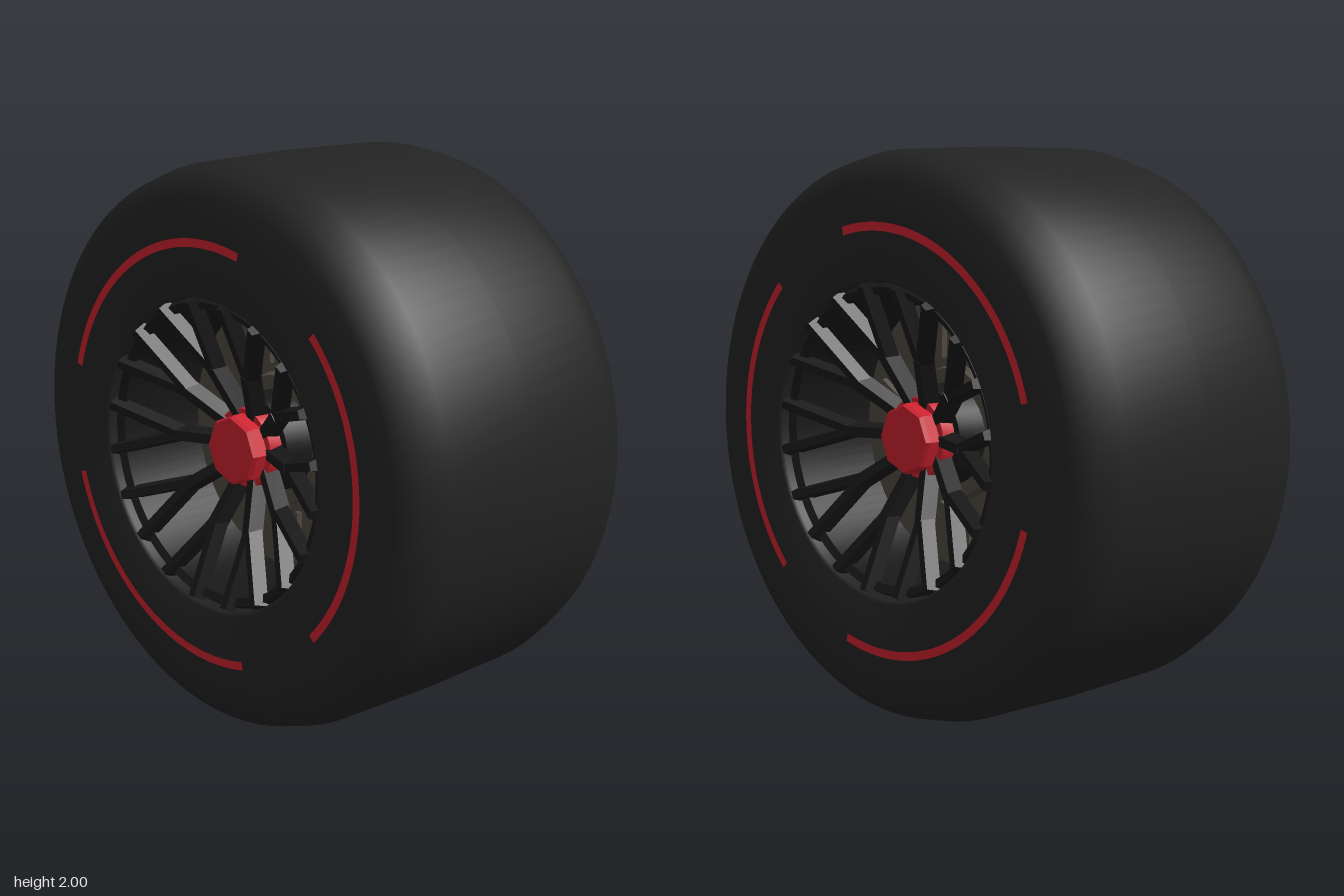
import * as THREE from 'three';
import { toCreasedNormals } from 'three/addons/utils/BufferGeometryUtils.js';

const flat = (name, color) => {
  const m = new THREE.MeshStandardMaterial({ color });
  m.name = name;
  return m;
};

export function createModel() {
  const rubber = flat('tyre rubber', 0x232323);
  const black = flat('rim black', 0x181818);
  const red = flat('signal red', 0xcc202e);
  const iron = flat('brake grey', 0x4e4940);

  const add = (parent, name, geometry, material) => {
    const mesh = new THREE.Mesh(geometry, material);
    mesh.name = name;
    parent.add(mesh);
    return mesh;
  };

  // Closed [radius, x] section spun about the x axis
  const spin = (section, segments) => {
    const pts = [...section, section[0]].map(([r, x]) => new THREE.Vector2(r, x));
    return toCreasedNormals(new THREE.LatheGeometry(pts, segments).rotateZ(-Math.PI / 2), 0.9);
  };

  // Cylinder along x between two x positions
  const drum = (r0, r1, x0, x1, sides) =>
    toCreasedNormals(new THREE.CylinderGeometry(r1, r0, x1 - x0, sides)
      .rotateZ(-Math.PI / 2).translate((x0 + x1) / 2, 0, 0), 0.6);

  // Point at a radius and angle about the x axis (0 = +z)
  const polar = (r, a, x) => new THREE.Vector3(x, r * Math.sin(a), r * Math.cos(a));

  // Bar between two points, with its outer face narrower than its back
  const bar = (from, to, width, depth) => {
    const d = to.clone().sub(from);
    const g = new THREE.BoxGeometry(width, d.length(), depth);
    const p = g.attributes.position;
    for (let i = 0; i < p.count; i++) if (p.getZ(i) > 0) p.setX(i, p.getX(i) * 0.6);
    d.normalize();
    const side = d.clone().cross(new THREE.Vector3(1, 0, 0)).normalize();
    const out = side.clone().cross(d);
    g.applyMatrix4(new THREE.Matrix4().makeBasis(side, d, out)
      .setPosition(from.clone().add(to).multiplyScalar(0.5)));
    g.computeVertexNormals();
    return g;
  };

  const wheel = new THREE.Group();
  wheel.name = 'wheel';

  // Wide slick tyre
  const half = [[1, 0], [0.993, 0.38], [0.965, 0.48], [0.885, 0.53], [0.78, 0.54], [0.56, 0.54], [0.548, 0.53]];
  const mirrored = half.slice(1).reverse().map(([r, x]) => [r, -x]);
  add(wheel, 'tyre', spin([...mirrored, ...half], 96), rubber);

  // Rim barrel and axle
  add(wheel, 'rimBarrel', spin([[0.541, -0.5], [0.541, 0.5], [0.53, 0.515], [0.504, 0.5],
    [0.504, -0.5], [0.53, -0.515]], 96), black);
  add(wheel, 'axle', drum(0.1, 0.1, -0.3, 0.3, 32), black);

  // Everything on one face of the wheel, facing +x
  const buildFace = (name) => {
    const face = new THREE.Group();
    face.name = name;
    wheel.add(face);

    // Brake disc with slightly tilted cooling ribs
    add(face, 'brakeDisc', drum(0.488, 0.488, 0.1, 0.17, 64), iron);
    add(face, 'brakeBell', drum(0.24, 0.23, 0.17, 0.21, 32), iron);
    for (let i = 0; i < 12; i++) {
      const a = (i + 0.5) * Math.PI / 6;
      add(face, 'brakeRib', bar(polar(0.27, a, 0.175), polar(0.42, a + 0.1, 0.175), 0.025, 0.03), iron);
    }

    // Ten forked spokes rising from the hub to the rim edge
    for (let i = 0; i < 10; i++) {
      const a = i * Math.PI / 5;
      const fork = polar(0.3, a, 0.42);
      add(face, 'spokeStem', bar(polar(0.11, a, 0.34), fork, 0.058, 0.055), black);
      for (const s of [-1, 1]) {
        add(face, 'spokeBranch', bar(polar(0.28, a, 0.41),
          polar(0.543, a + s * Math.PI / 20, 0.525), 0.048, 0.05), black);
      }
    }

    // Hub, flange and octagonal wheel nut
    add(face, 'hub', drum(0.18, 0.17, 0.21, 0.32, 32), black);
    add(face, 'nutFlange', drum(0.145, 0.14, 0.32, 0.37, 24), red);
    add(face, 'wheelNut', drum(0.125, 0.125, 0.37, 0.415, 8), red);
    add(face, 'nutBevel', drum(0.125, 0.117, 0.415, 0.43, 8), red);

    // Three painted sidewall arcs
    const span = THREE.MathUtils.degToRad(88);
    for (const deg of [60, 180, 300]) {
      const start = THREE.MathUtils.degToRad(deg) - span / 2;
      add(face, 'sidewallStripe', new THREE.RingGeometry(0.72, 0.75, 40, 1, start, span)
        .rotateY(Math.PI / 2).translate(0.543, 0, 0), red);
    }
    return face;
  };

  buildFace('leftFace');
  buildFace('rightFace').rotation.z = Math.PI;

  wheel.position.y = 1;
  const model = new THREE.Group();
  model.name = 'racingWheel';
  model.add(wheel);
  return model;
}
